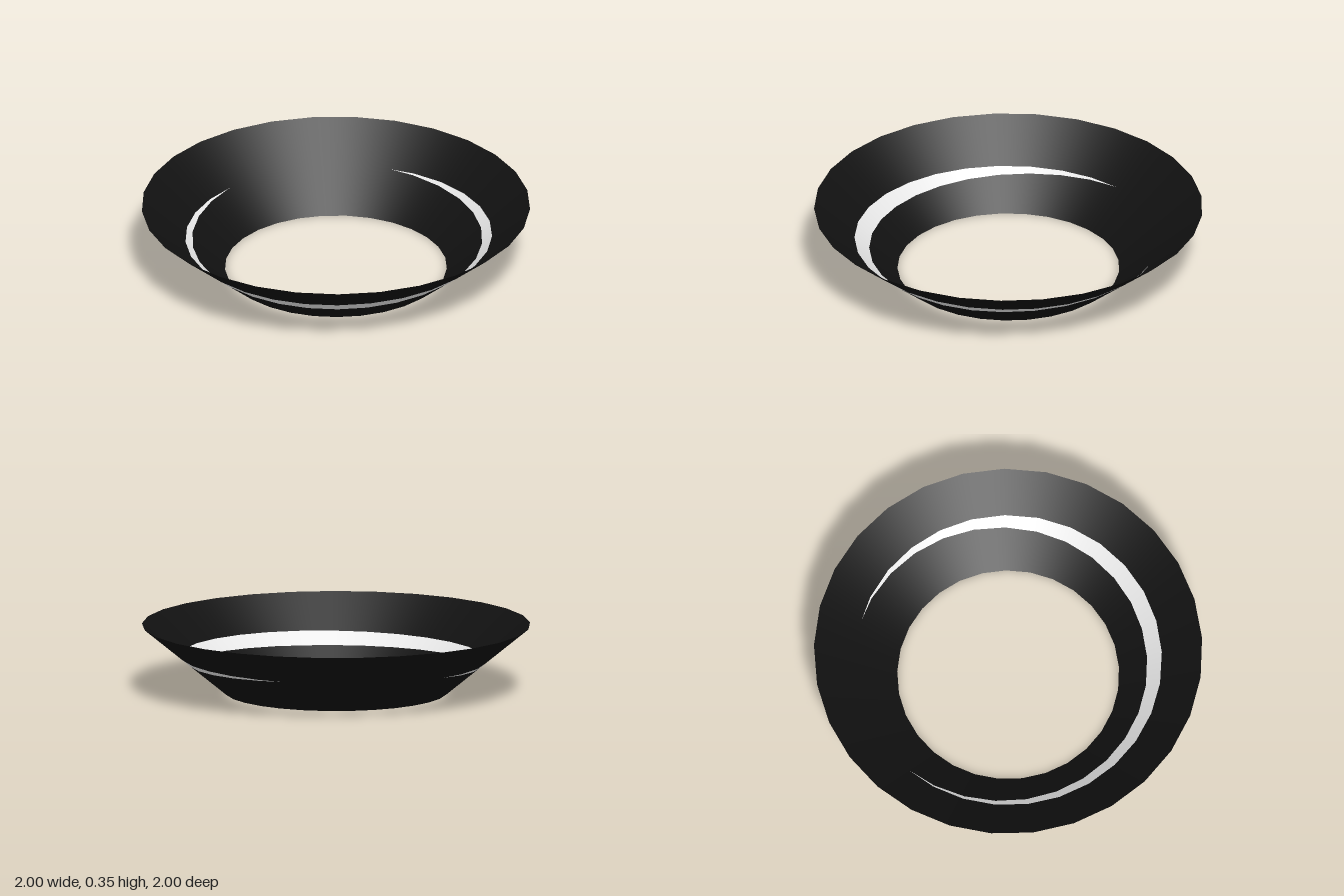
import * as THREE from 'three';

const SIDES = 29, STEPS = 6;
const R_BOTTOM = 0.573, R_TOP = 1.003, HEIGHT = 0.353, SHIFT = -0.003;

// Point on the faceted cone: column index i, height fraction v
function conePoint(i, v) {
  const k = Math.floor(i / STEPS), t = (i % STEPS) / STEPS;
  const a = k * 2 * Math.PI / SIDES, b = (k + 1) * 2 * Math.PI / SIDES;
  const r = R_BOTTOM + (R_TOP - R_BOTTOM) * v;
  return [
    r * THREE.MathUtils.lerp(Math.cos(a), Math.cos(b), t) + SHIFT,
    HEIGHT * v,
    r * THREE.MathUtils.lerp(Math.sin(a), Math.sin(b), t),
  ];
}

const toFraction = (r) => (r - R_BOTTOM) / (R_TOP - R_BOTTOM);

// Slightly tilted upper edge of the stripe
const stripeTop = (a) => toFraction(0.792 + 0.011 * Math.cos(a) - 0.010 * Math.sin(a));

// Lower edge: widest at 26 degrees, tapering to a point on either side
function stripeBottom(a) {
  let d = THREE.MathUtils.radToDeg(a) - 26;
  if (d > 180) d -= 360;
  const p = Math.min(1, Math.abs(d) / 147);
  return stripeTop(a) - 0.077 * (1 - Math.pow(p, 1.7)) / (R_TOP - R_BOTTOM);
}

// Band of the cone wall between two edge functions of the angle
function band(name, lower, upper, material) {
  const n = SIDES * STEPS, pos = [], nor = [], idx = [];
  const slope = new THREE.Vector2(HEIGHT, R_TOP - R_BOTTOM).normalize();
  for (let i = 0; i <= n; i++) {
    const a = i / n * 2 * Math.PI;
    for (const edge of [lower, upper]) {
      pos.push(...conePoint(i, edge(a)));
      nor.push(Math.cos(a) * slope.x, -slope.y, Math.sin(a) * slope.x);
    }
    if (i === n) break;
    const j = i * 2;
    if (upper(a) - lower(a) > 1e-6 || upper(a + 0.04) - lower(a + 0.04) > 1e-6) {
      idx.push(j, j + 1, j + 2, j + 1, j + 3, j + 2);
    }
  }
  const g = new THREE.BufferGeometry();
  g.setAttribute('position', new THREE.Float32BufferAttribute(pos, 3));
  g.setAttribute('normal', new THREE.Float32BufferAttribute(nor, 3));
  g.setIndex(idx);
  const mesh = new THREE.Mesh(g, material);
  mesh.name = name;
  return mesh;
}

export function createModel() {
  const black = new THREE.MeshStandardMaterial({ color: 0x111111, side: THREE.DoubleSide });
  black.name = 'black';
  const white = new THREE.MeshStandardMaterial({ color: 0xf0f0f0, side: THREE.DoubleSide });
  white.name = 'white';

  const group = new THREE.Group();
  group.name = 'conicalRing';
  group.add(
    band('lowerWall', () => 0, stripeBottom, black),
    band('crescentStripe', stripeBottom, stripeTop, white),
    band('upperWall', stripeTop, () => 1, black),
  );
  return group;
}
